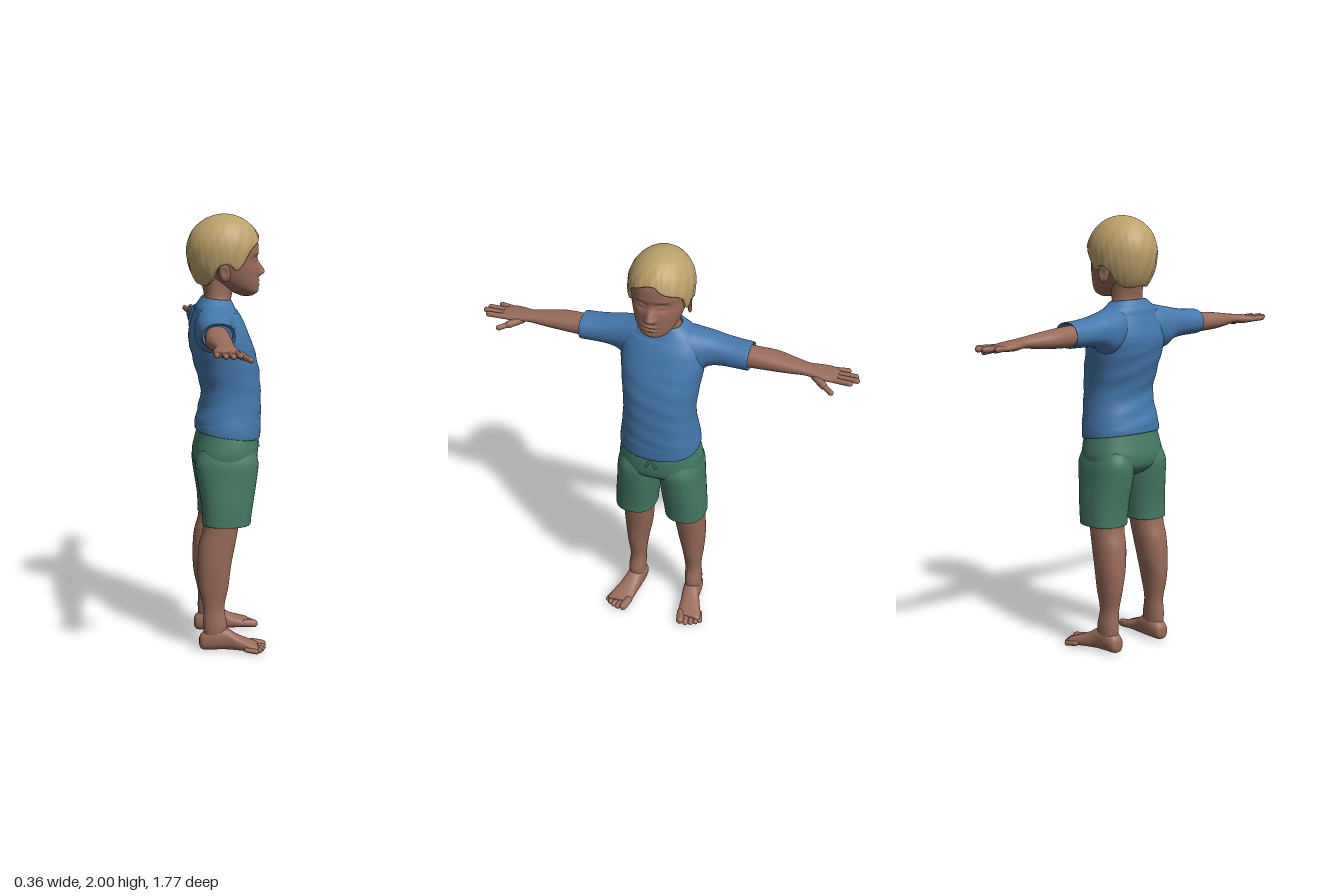
import * as THREE from 'three';

const mat = (name, color) => Object.assign(new THREE.MeshStandardMaterial({ color }), { name });
const gauss = (d, s) => Math.exp(-(d * d) / (2 * s * s));

// Closed skin over a list of rings (each ring an array of Vector3)
function skin(rows) {
  const n = rows[0].length, pos = [], idx = [];
  rows.forEach(r => r.forEach(p => pos.push(p.x, p.y, p.z)));
  for (let i = 0; i < rows.length - 1; i++) for (let j = 0; j < n; j++) {
    const k = (j + 1) % n, a = i * n + j, b = i * n + k, c = a + n, d = b + n;
    idx.push(a, b, d, a, d, c);
  }
  [0, rows.length - 1].forEach((r, end) => {
    const m = new THREE.Vector3();
    rows[r].forEach(p => m.addScaledVector(p, 1 / n));
    const centre = pos.length / 3;
    pos.push(m.x, m.y, m.z);
    for (let j = 0; j < n; j++) {
      const a = r * n + j, b = r * n + (j + 1) % n;
      end ? idx.push(a, b, centre) : idx.push(b, a, centre);
    }
  });
  const g = new THREE.BufferGeometry();
  g.setAttribute('position', new THREE.Float32BufferAttribute(pos, 3));
  g.setIndex(idx);
  g.computeVertexNormals();
  return g;
}

// Smooth loft along an axis; a ring is [t, centreU, centreV, radiusU, radiusV]
// axis x: u = y, v = z; axis y: u = z, v = x; axis z: u = x, v = y
function loft(axis, rings, { seg = 40, steps = 6, power = 2.2 } = {}) {
  const curve = new THREE.CubicInterpolant(rings.map((r, i) => i), rings.flat(), 5);
  const rows = [], pw = c => Math.sign(c) * Math.abs(c) ** (2 / power);
  const last = (rings.length - 1) * steps;
  for (let i = 0; i <= last; i++) {
    const [t, cu, cv, ru, rv] = Array.from(curve.evaluate(i / steps));
    rows.push(Array.from({ length: seg }, (_, j) => {
      const a = j / seg * Math.PI * 2;
      const u = cu + ru * pw(Math.cos(a)), v = cv + rv * pw(Math.sin(a));
      return axis === 'x' ? new THREE.Vector3(t, u, v)
        : axis === 'y' ? new THREE.Vector3(v, t, u) : new THREE.Vector3(u, v, t);
    }));
  }
  return skin(rows);
}

// Ring given by its back and front depth: [y, back, front, centreX, radiusX]
const body = list => list.map(([y, b, f, cx, rx]) => [y, (b + f) / 2, cx, (f - b) / 2, rx]);

function warp(g, rule) {
  const p = g.attributes.position, v = new THREE.Vector3();
  for (let i = 0; i < p.count; i++) {
    rule(v.fromBufferAttribute(p, i));
    p.setXYZ(i, v.x, v.y, v.z);
  }
  g.computeVertexNormals();
  return g;
}

function mirrored(g) {
  const m = g.clone().scale(-1, 1, 1), ix = m.index;
  for (let i = 0; i < ix.count; i += 3) {
    const a = ix.getX(i);
    ix.setX(i, ix.getX(i + 2));
    ix.setX(i + 2, a);
  }
  return m;
}

// Rounded finger, toe or cord between two points
function capsule(from, to, r) {
  const a = new THREE.Vector3(...from), b = new THREE.Vector3(...to), d = b.clone().sub(a);
  const q = new THREE.Quaternion().setFromUnitVectors(new THREE.Vector3(0, 1, 0), d.clone().normalize());
  const m = a.add(b).multiplyScalar(0.5);
  return new THREE.CapsuleGeometry(r, d.length(), 6, 14).applyQuaternion(q).translate(m.x, m.y, m.z);
}

function hairGeometry() {
  // Height of the hairline by angle in degrees, 0 at the forehead
  const line = [[-180, 1.69], [-125, 1.7], [-102, 1.775], [-86, 1.78], [-73, 1.755], [-50, 1.84], [-20, 1.885],
    [5, 1.9], [25, 1.868], [45, 1.85], [60, 1.82], [73, 1.76], [86, 1.78], [102, 1.775], [125, 1.7], [180, 1.69]];
  const edge = new THREE.CubicInterpolant(line.map(p => p[0]), line.map(p => p[1]), 1);
  const cy = 1.84, seg = 128, steps = 36, rows = [];
  for (let i = -2; i <= steps; i++) {
    const rim = i === -2 ? 0.85 : i === -1 ? 0.96 : 1, t = Math.max(i, 0) / steps;
    rows.push(Array.from({ length: seg }, (_, j) => {
      const deg = j / seg * 360 - 180, a = deg * Math.PI / 180;
      const y0 = edge.evaluate(deg)[0] - cy;
      const phi = Math.acos(y0 / (y0 > 0 ? 0.16 : 0.22)) * (1 - t) + 0.04 * t;
      const c = Math.cos(phi), low = 1 - t;
      const strands = 1 + low * (0.012 * Math.sin(15 * a + 7 * phi) + 0.006 * Math.sin(31 * a - 5 * phi));
      const rho = Math.sin(phi) * rim * (strands + 0.03 * gauss(deg - 40, 18) * low);
      const depth = Math.cos(a) > 0 ? 0.167 : 0.172;
      return new THREE.Vector3(rho * 0.145 * Math.sin(a), cy + c * (c > 0 ? 0.16 : 0.22),
        rho * depth * Math.cos(a) - 0.006);
    }));
  }
  return skin(rows);
}

function headGeometry() {
  const g = loft('y', body([
    [1.632, 0.065, 0.122, 0, 0.03], [1.65, 0.025, 0.142, 0, 0.062], [1.68, -0.03, 0.147, 0, 0.087],
    [1.72, -0.08, 0.147, 0, 0.105], [1.76, -0.11, 0.147, 0, 0.116], [1.8, -0.13, 0.145, 0, 0.122],
    [1.85, -0.14, 0.148, 0, 0.125], [1.9, -0.13, 0.137, 0, 0.116], [1.95, -0.08, 0.09, 0, 0.08]
  ]), { seg: 128, steps: 11 });
  return warp(g, v => {
    if (v.z < 0.04) return;
    const x = Math.abs(v.x), { y } = v;
    let d = 0.03 * gauss(x, 0.012) * gauss(y - 1.738, y > 1.738 ? 0.026 : 0.01); // nose
    d += 0.012 * gauss(x - 0.017, 0.008) * gauss(y - 1.734, 0.009);             // nostrils
    d -= 0.013 * gauss(x - 0.045, 0.021) * gauss(y - 1.797, 0.014);             // eye sockets
    d += 0.008 * gauss(x - 0.045, 0.013) * gauss(y - 1.795, 0.006);             // eyelids
    d += 0.004 * gauss(x - 0.045, 0.025) * gauss(y - 1.825, 0.006);             // brows
    d += 0.008 * gauss(x, 0.02) * (gauss(y - 1.699, 0.005) + gauss(y - 1.682, 0.005)); // lips
    d -= 0.004 * gauss(x, 0.024) * gauss(y - 1.69, 0.003);                      // mouth line
    d += 0.005 * gauss(x, 0.025) * gauss(y - 1.655, 0.01);                      // chin
    v.z += d;
  });
}

export function createModel() {
  const skinMat = mat('skin', 0x9a6b5a), shirtMat = mat('shirt blue', 0x4478ac);
  const shortsMat = mat('shorts green', 0x447a64), hairMat = mat('blond hair', 0xbba06a);
  const figure = new THREE.Group();
  figure.name = 'figure';
  const add = (name, g, m) => {
    const mesh = new THREE.Mesh(g, m);
    mesh.name = name;
    figure.add(mesh);
  };
  const pair = (name, g, m) => { add(name, g, m); add(name, mirrored(g), m); };

  // Head
  add('head', headGeometry(), skinMat);
  add('hair', hairGeometry(), hairMat);
  add('neck', loft('y', body([[1.54, -0.11, 0.02, 0, 0.09], [1.6, -0.105, 0.02, 0, 0.08],
    [1.64, -0.1, 0.028, 0, 0.07], [1.7, -0.112, 0.04, 0, 0.07], [1.76, -0.115, 0.03, 0, 0.075]])), skinMat);
  const ear = new THREE.SphereGeometry(1, 24, 18).scale(0.012, 0.04, 0.027);
  warp(ear, v => { v.x -= 0.008 * gauss(v.y - 0.004, 0.014) * gauss(v.z - 0.003, 0.01) * Math.sign(v.x); });
  pair('ear', ear.rotateY(0.35).rotateX(-0.15).translate(0.126, 1.745, -0.018), skinMat);

  // Shirt with a hem that drops toward the front
  const torso = loft('y', body([
    [1.03, -0.12, 0.13, 0, 0.165], [1.003, -0.136, 0.147, 0, 0.181], [1.008, -0.144, 0.156, 0, 0.187],
    [1.05, -0.14, 0.159, 0, 0.184], [1.1, -0.128, 0.16, 0, 0.176], [1.2, -0.115, 0.158, 0, 0.166],
    [1.3, -0.14, 0.15, 0, 0.174], [1.4, -0.165, 0.125, 0, 0.188], [1.46, -0.17, 0.102, 0, 0.194],
    [1.52, -0.157, 0.078, 0, 0.182], [1.57, -0.14, 0.05, 0, 0.15], [1.6, -0.122, 0.034, 0, 0.115],
    [1.622, -0.108, 0.022, 0, 0.084], [1.605, -0.1, 0.014, 0, 0.076]
  ]), { seg: 64, power: 2.3 });
  warp(torso, v => {
    v.y -= 0.14 * v.z * THREE.MathUtils.smoothstep(1.25 - v.y, 0, 0.2);
    if (v.y > 1.57) v.y -= 0.12 * (v.z + 0.04);
    if (v.y > 1.05 && v.y < 1.4) v.z += 0.002 * Math.sin(v.y * 70 + v.x * 22);
  });
  add('shirt body', torso, shirtMat);
  pair('sleeve', loft('x', [
    [0.06, 1.51, -0.05, 0.095, 0.085], [0.12, 1.498, -0.057, 0.1, 0.095], [0.17, 1.49, -0.066, 0.097, 0.09],
    [0.21, 1.5, -0.072, 0.079, 0.081], [0.26, 1.501, -0.074, 0.067, 0.075], [0.33, 1.498, -0.073, 0.06, 0.074],
    [0.388, 1.497, -0.071, 0.058, 0.074], [0.392, 1.497, -0.071, 0.054, 0.068], [0.375, 1.497, -0.071, 0.048, 0.06]
  ]), shirtMat);

  // Arms and hands
  pair('arm', loft('x', [
    [0.3, 1.494, -0.075, 0.048, 0.054], [0.39, 1.492, -0.077, 0.047, 0.053], [0.5, 1.49, -0.082, 0.04, 0.057],
    [0.58, 1.488, -0.076, 0.031, 0.048], [0.65, 1.487, -0.07, 0.022, 0.04], [0.7, 1.482, -0.074, 0.022, 0.049],
    [0.74, 1.48, -0.076, 0.019, 0.055], [0.78, 1.478, -0.076, 0.014, 0.053], [0.792, 1.477, -0.076, 0.008, 0.045]
  ]), skinMat);
  [[-0.036, -0.029, 0.848], [-0.063, -0.06, 0.873], [-0.09, -0.089, 0.862], [-0.115, -0.122, 0.82]]
    .forEach(([z0, z1, tip]) => pair('finger', capsule([0.765, 1.479, z0], [tip, 1.481, z1], 0.0125), skinMat));
  pair('thumb base', capsule([0.69, 1.474, -0.042], [0.738, 1.462, -0.005], 0.017), skinMat);
  pair('thumb', capsule([0.735, 1.463, -0.006], [0.778, 1.452, 0.022], 0.0125), skinMat);

  // Shorts
  add('shorts seat', loft('y', body([
    [0.815, -0.07, 0.06, 0, 0.07], [0.835, -0.115, 0.1, 0, 0.13], [0.87, -0.148, 0.137, 0, 0.185],
    [0.92, -0.155, 0.146, 0, 0.194], [0.98, -0.142, 0.144, 0, 0.184], [1.03, -0.13, 0.13, 0, 0.172]
  ]), { seg: 56, power: 2.4 }), shortsMat);
  pair('shorts leg', loft('y', body([
    [0.65, -0.095, 0.075, 0.125, 0.075], [0.604, -0.108, 0.09, 0.124, 0.087], [0.598, -0.12, 0.1, 0.123, 0.096],
    [0.63, -0.121, 0.104, 0.121, 0.097], [0.7, -0.126, 0.115, 0.115, 0.099], [0.8, -0.142, 0.131, 0.105, 0.1],
    [0.88, -0.15, 0.139, 0.1, 0.098], [0.94, -0.13, 0.12, 0.095, 0.085]
  ]), { power: 2.4 }), shortsMat);
  pair('drawstring', capsule([0.006, 0.972, 0.146], [0.022, 0.935, 0.15], 0.005), shortsMat);

  // Legs
  pair('leg', loft('y', body([
    [0.04, -0.115, -0.015, 0.147, 0.036], [0.12, -0.12, -0.01, 0.147, 0.041], [0.2, -0.12, -0.022, 0.143, 0.038],
    [0.3, -0.14, -0.003, 0.142, 0.049], [0.4, -0.145, 0.01, 0.136, 0.063], [0.5, -0.138, 0.03, 0.13, 0.07],
    [0.58, -0.118, 0.044, 0.126, 0.073], [0.7, -0.115, 0.06, 0.12, 0.08]
  ])), skinMat);

  // Feet turned slightly outward
  pair('foot', loft('z', [
    [-0.138, 0.145, 0.04, 0.015, 0.02], [-0.125, 0.145, 0.042, 0.033, 0.038], [-0.08, 0.146, 0.055, 0.042, 0.053],
    [-0.02, 0.15, 0.054, 0.043, 0.052], [0.03, 0.162, 0.039, 0.048, 0.037], [0.08, 0.175, 0.028, 0.056, 0.026],
    [0.115, 0.181, 0.022, 0.058, 0.019], [0.128, 0.182, 0.02, 0.05, 0.014]
  ], { power: 2.4 }), skinMat);
  [[0.138, 0.149, 0.152, 0.019], [0.168, 0.176, 0.154, 0.014], [0.19, 0.2, 0.146, 0.013],
    [0.21, 0.222, 0.134, 0.0125], [0.226, 0.239, 0.118, 0.012]]
    .forEach(([x0, x1, z, r]) => pair('toe', capsule([x0, r + 0.006, z - 0.045], [x1, r, z], r), skinMat));

  // The figure looks along +x with its arms spread along z
  figure.rotation.y = Math.PI / 2;
  const model = new THREE.Group();
  model.name = 'standing child';
  model.add(figure);
  return model;
}
